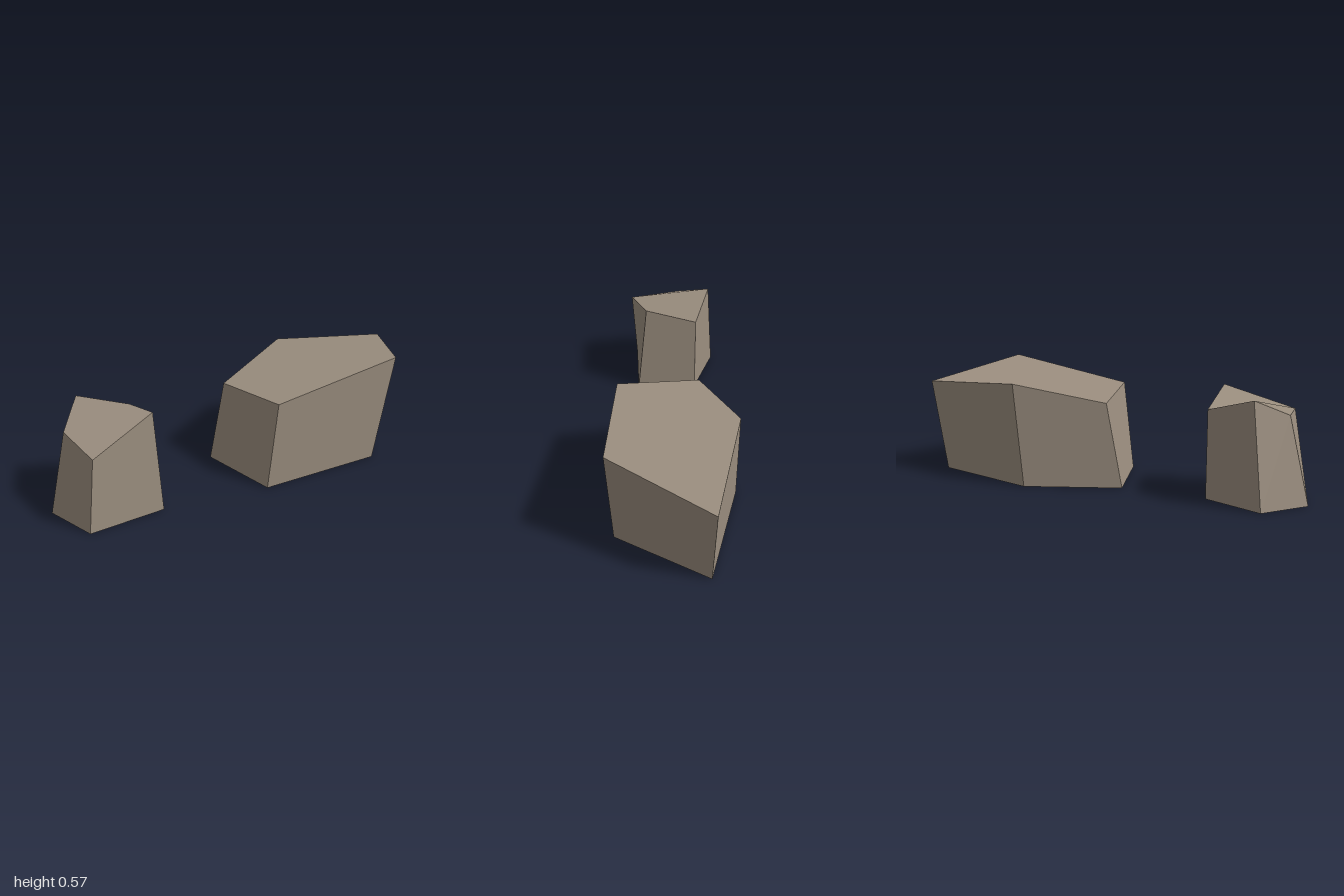
import * as THREE from 'three';

// One even normal per polygon face, even when its corners are not quite coplanar
function polygonNormal(points) {
  const n = new THREE.Vector3();
  points.forEach((p, i) => n.add(p.clone().cross(points[(i + 1) % points.length])));
  return n.normalize();
}

// Angular rock: a five-sided base ring joined to an uneven five-sided top ring.
// base holds [x, z], top holds [x, y, z]; both run anticlockwise seen from above.
function makeRock(name, base, top, fanStart, material) {
  const low = base.map(([x, z]) => new THREE.Vector3(x, 0, z));
  const high = top.map((p) => new THREE.Vector3(...p));
  const count = low.length;
  const positions = [];
  const normals = [];

  function addFace(points) {
    const n = polygonNormal(points);
    for (let i = 1; i < points.length - 1; i++) {
      for (const p of [points[0], points[i], points[i + 1]]) {
        positions.push(p.x, p.y, p.z);
        normals.push(n.x, n.y, n.z);
      }
    }
  }

  // Top, underside and walls
  addFace(high.map((_, i) => high[(i + fanStart) % count]));
  addFace([...low].reverse());
  for (let i = 0; i < count; i++) {
    const j = (i + 1) % count;
    addFace([low[i], low[j], high[j], high[i]]);
  }

  const geometry = new THREE.BufferGeometry();
  geometry.setAttribute('position', new THREE.Float32BufferAttribute(positions, 3));
  geometry.setAttribute('normal', new THREE.Float32BufferAttribute(normals, 3));
  const mesh = new THREE.Mesh(geometry, material);
  mesh.name = name;
  return mesh;
}

export function createModel() {
  const stone = new THREE.MeshStandardMaterial({ color: 0x9b8e7f });
  stone.name = 'stone';

  const group = new THREE.Group();
  group.name = 'rocks';

  group.add(makeRock(
    'largeRock',
    [[-0.095, -0.16], [0, 0.25], [0.64, 0.292], [0.92, -0.145], [0.37, -0.315]],
    [[-0.01, 0.42, -0.155], [0.055, 0.46, 0.255], [0.725, 0.57, 0.315], [1, 0.47, -0.147], [0.425, 0.512, -0.308]],
    4, stone));

  group.add(makeRock(
    'smallRock',
    [[-1, -0.115], [-0.91, 0.14], [-0.528, 0.142], [-0.528, -0.18], [-0.82, -0.303]],
    [[-0.9, 0.42, -0.11], [-0.873, 0.402, 0.163], [-0.535, 0.512, 0.09], [-0.53, 0.433, -0.18], [-0.766, 0.505, -0.268]],
    1, stone));

  return group;
}
